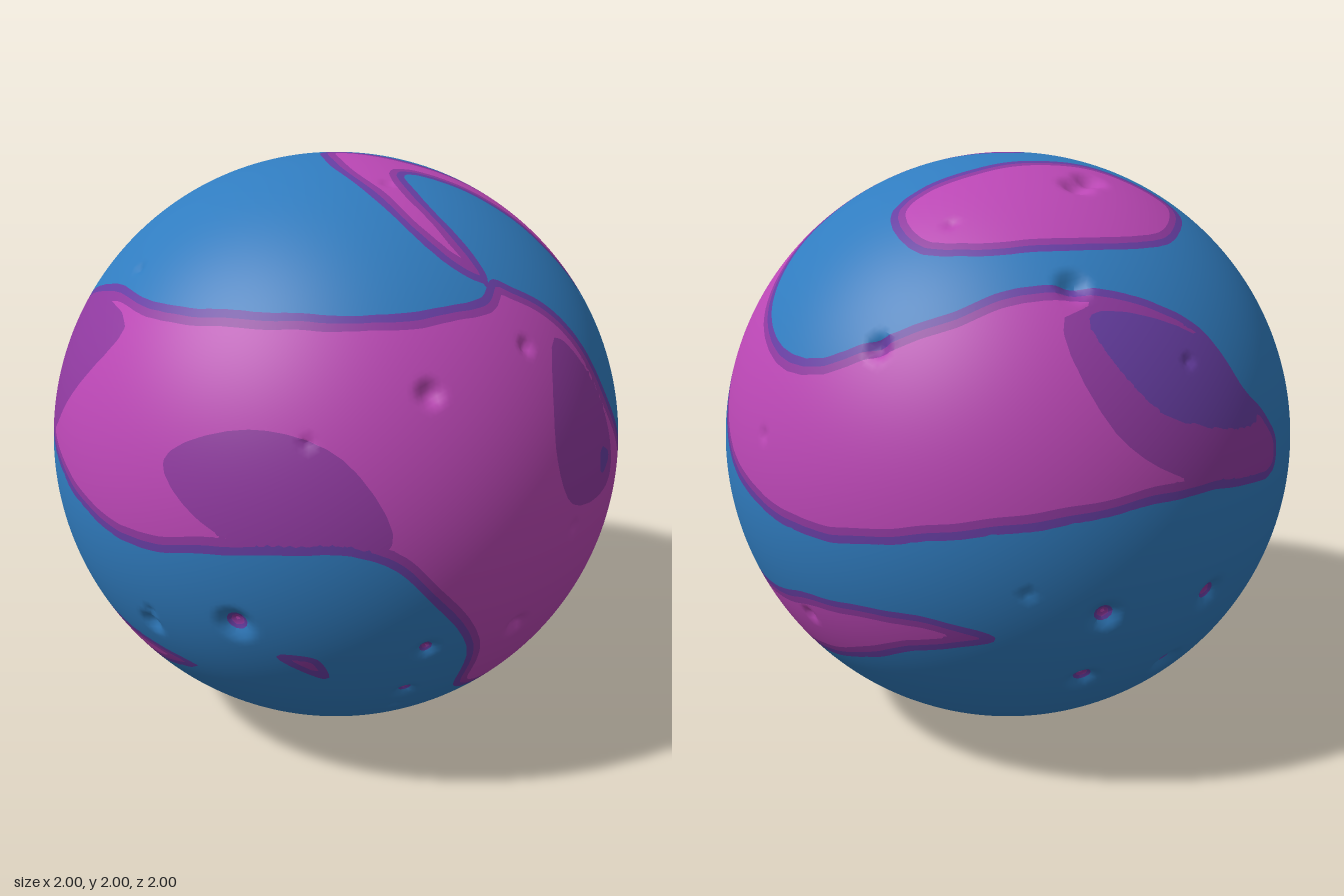
import * as THREE from 'three';
import { mergeVertices } from 'three/addons/utils/BufferGeometryUtils.js';

const V3 = THREE.Vector3;

// Returns a function placing flat (u, v) pairs on the unit sphere, as faced from an azimuth and elevation
function facing(azimuth, elevation) {
  const a = THREE.MathUtils.degToRad(azimuth), e = THREE.MathUtils.degToRad(elevation);
  const out = new V3(Math.sin(a) * Math.cos(e), Math.sin(e), Math.cos(a) * Math.cos(e));
  const right = new V3(Math.cos(a), 0, -Math.sin(a));
  const up = out.clone().cross(right);
  return (...uv) => {
    const pts = [];
    for (let i = 0; i < uv.length; i += 2) {
      const depth = Math.sqrt(Math.max(0, 1 - uv[i] ** 2 - uv[i + 1] ** 2));
      pts.push(new V3().addScaledVector(right, uv[i]).addScaledVector(up, uv[i + 1])
        .addScaledVector(out, depth).normalize());
    }
    return pts;
  };
}
const front = facing(0, 0), side = facing(90, 0), top = facing(0, 90);
const backLeft = facing(215, 25), backUnder = facing(145, -25);

// Flattens the sphere from its lowest point
function flatten(p) {
  return [p.x / (1 + p.y + 1e-6), p.z / (1 + p.y + 1e-6)];
}

// A smooth closed outline on the sphere, with its flattened copy for inside tests
function region(...parts) {
  const pts = parts.flat();
  const curve = new THREE.CatmullRomCurve3(pts, true, 'centripetal');
  const loop = curve.getPoints(pts.length * 5).slice(0, -1).map(p => p.normalize());
  return { loop, flat: loop.map(flatten) };
}

// Signed distance to the outline, positive inside
function inset(r, p) {
  const [x, y] = flatten(p);
  let best = 9, inside = false;
  for (let i = 0, j = r.loop.length - 1; i < r.loop.length; j = i++) {
    const a = r.loop[j], b = r.loop[i];
    const dx = b.x - a.x, dy = b.y - a.y, dz = b.z - a.z;
    const px = p.x - a.x, py = p.y - a.y, pz = p.z - a.z;
    const t = Math.min(1, Math.max(0, (px * dx + py * dy + pz * dz) / (dx * dx + dy * dy + dz * dz + 1e-12)));
    best = Math.min(best, (px - t * dx) ** 2 + (py - t * dy) ** 2 + (pz - t * dz) ** 2);
    const [ax, ay] = r.flat[j], [bx, by] = r.flat[i];
    if ((ay > y) !== (by > y) && x < (bx - ax) * (y - ay) / (by - ay) + ax) inside = !inside;
  }
  return Math.sqrt(best) * (inside ? 1 : -1);
}

const lands = [
  // Front field with its tail along the left flank
  region(front(-0.72, 0.62, -0.3, 0.63, 0.08, 0.65, 0.15, 0.69, 0.22, 0.66, 0.4, 0.55, 0.6, 0.25),
    side(-0.65, 0.03, -0.42, -0.2, 0, -0.36, 0.4, -0.3, 0.72, -0.28, 0.83, -0.35, 0.65, -0.43, 0.2, -0.6, -0.2, -0.62),
    front(0.7, -0.64, 0.45, -0.7, 0.1, -0.68, 0.02, -0.62, -0.03, -0.4, -0.22, -0.15, -0.37, -0.02, -0.7, -0.02),
    backLeft(0.97, -0.16, 0.6, -0.22, 0.38, -0.245, 0.36, 0.04, 0.63, 0.38)),
  // Stem over the top and sweep round to the back
  region(top(0.13, -0.72, 0, -0.66, -0.1, -0.35, -0.1, -0.12, 0, 0.06, 0.2, -0.1, 0.5, -0.18),
    side(-0.13, 0.69, 0.05, 0.52, 0.35, 0.43, 0.62, 0.57),
    backLeft(-0.6, 0.41, -0.28, 0.13, -0.2, -0.08, -0.03, -0.29, -0.06, -0.38, -0.48, -0.31),
    side(0.85, -0.01, 0.45, -0.08, 0, 0.04, -0.27, 0.27, -0.46, 0.5, -0.47, 0.66),
    top(0.4, -0.38, 0.1, -0.29, 0.07, -0.45)),
  // Oval near the top
  region(top(-0.43, 0.38, -0.25, 0.62, 0.1, 0.66, 0.5, 0.46, 0.5, 0.22, 0.1, 0.2, -0.25, 0.24)),
  // Low streak on the right flank
  region(front(-0.73, -0.52), backLeft(0.5, -0.82, 0.27, -0.82, 0.6, -0.67)),
  // Patch under the sphere
  region(front(-0.52, -0.81, -0.28, -0.83), backUnder(0.2, -0.96, 0.45, -0.77, 0.56, -0.74)),
  // Small islet
  region(front(-0.58, -0.38, -0.48, -0.38, -0.43, -0.48)),
];

const plumPatches = [
  region(front(-0.83, 0.22, -0.64, 0.34, -0.43, 0.27, -0.32, 0.02, -0.74, 0.04)),
  region(front(0.33, 0.51, 0.53, 0.27, 0.58, 0.02, 0.32, 0.02, 0.24, 0.22)),
  region(backLeft(-0.62, 0.3, -0.28, 0.08, -0.08, -0.34, -0.47, -0.27, -0.65, -0.05)),
  region(backLeft(0.45, 0.15, 0.78, 0.36, 0.78, 0, 0.7, -0.18, 0.42, -0.2)),
];
const violetPatches = [
  region(front(0.5, 0.14, 0.56, 0.1, 0.5, 0.06)),
  region(backLeft(-0.57, 0.28, -0.28, 0.08, -0.15, -0.2, -0.52, -0.05)),
];

// Craters: centres, radius, and whether the pit floor is purple
const craters = [
  [front(-0.69, -0.27), 0.075, true],
  [front(-0.17, -0.37, -0.17, -0.58), 0.048, true],
  [backUnder(0.43, 0.1, 0.735, -0.02, 0.36, -0.19, 0.61, -0.3, 0.36, -0.69), 0.067, true],
  [front(-0.01, -0.86), 0.12, false],
  [top(-0.04, 0.41, -0.11, 0.365, 0.15, 0.74), 0.065, false],
  [front(-0.17, 0.43, -0.85, -0.37, 0.16, -0.37, 0.76, 0.55, 0.76, -0.57), 0.052, false],
  [side(0.55, 0.49, 0, -0.5), 0.052, false],
  [[...front(0.19, 0.51), ...side(0.33, -0.4)], 0.035, false],
].flatMap(([centres, radius, floor]) => centres.map(centre => ({ centre, radius, floor })));

// Tiny pits scattered evenly along a spiral
for (let i = 0; i < 16; i++) {
  const centre = new V3().setFromSphericalCoords(1, Math.acos(1 - (i + 0.5) / 8), i * 2.4);
  craters.push({ centre, radius: 0.026, floor: false });
}

// Height and colour value at a point of the unit sphere
function survey(p) {
  let tone = Math.max(...lands.map(r => inset(r, p)));
  tone += 0.004 * Math.sin(23 * p.x + 9 * p.y) * Math.sin(19 * p.z - 17 * p.y);
  if (tone > 0.025) {
    for (const r of plumPatches) tone = Math.min(tone, Math.max(0.05 - inset(r, p), 0.028));
    for (const r of violetPatches) tone = Math.min(tone, Math.max(0.025 - inset(r, p), 0.006));
  }
  let height = 1;
  for (const c of craters) {
    const s = p.distanceTo(c.centre) / c.radius;
    if (s < 1) height -= Math.min(0.45 * c.radius, 0.03) * (1 - s * s) ** 2;
    if (c.floor) tone = Math.max(tone, (0.45 - s) * 0.16);
  }
  return { pos: p.clone().multiplyScalar(height), tone };
}

// Keep the part of a polygon whose tone lies beyond a level (sign +1 above, -1 below)
function clip(poly, level, sign) {
  const kept = [];
  poly.forEach((a, i) => {
    const b = poly[(i + 1) % poly.length];
    const da = (a.tone - level) * sign, db = (b.tone - level) * sign;
    if (da >= 0) kept.push(a);
    if (da * db < 0) kept.push({ pos: a.pos.clone().lerp(b.pos, da / (da - db)), tone: level });
  });
  return kept;
}

function paint(name, color) {
  const material = new THREE.MeshStandardMaterial({ color });
  material.name = name;
  return material;
}

export function createModel() {
  let ball = new THREE.IcosahedronGeometry(1, 64);
  ball.deleteAttribute('normal');
  ball.deleteAttribute('uv');
  ball = mergeVertices(ball, 1e-5);
  const spots = [];
  for (let i = 0; i < ball.attributes.position.count; i++) {
    spots.push(survey(new V3().fromBufferAttribute(ball.attributes.position, i).normalize()));
  }

  // Cut every triangle along the colour borders and collect one group per colour
  const levels = [-99, 0, 0.025, 0.05, 99];
  const coords = [], groups = [];
  const index = ball.index.array;
  for (let band = 0; band < 4; band++) {
    const start = coords.length / 3;
    for (let i = 0; i < index.length; i += 3) {
      const tri = [spots[index[i]], spots[index[i + 1]], spots[index[i + 2]]];
      const poly = clip(clip(tri, levels[band], 1), levels[band + 1], -1);
      for (let k = 2; k < poly.length; k++) {
        for (const q of [poly[0], poly[k - 1], poly[k]]) coords.push(q.pos.x, q.pos.y + 1, q.pos.z);
      }
    }
    groups.push([start, coords.length / 3 - start, band]);
  }
  let surface = new THREE.BufferGeometry();
  surface.setAttribute('position', new THREE.Float32BufferAttribute(coords, 3));
  surface = mergeVertices(surface, 1e-5);
  groups.forEach(g => surface.addGroup(...g));
  surface.computeVertexNormals();

  const planet = new THREE.Mesh(surface, [
    paint('ocean blue', 0x307cbf), paint('violet shore', 0x673ea3),
    paint('plum ground', 0x903aa0), paint('magenta land', 0xbb47b5),
  ]);
  planet.name = 'planetSurface';
  const model = new THREE.Group();
  model.name = 'crateredPlanet';
  model.add(planet);
  return model;
}
